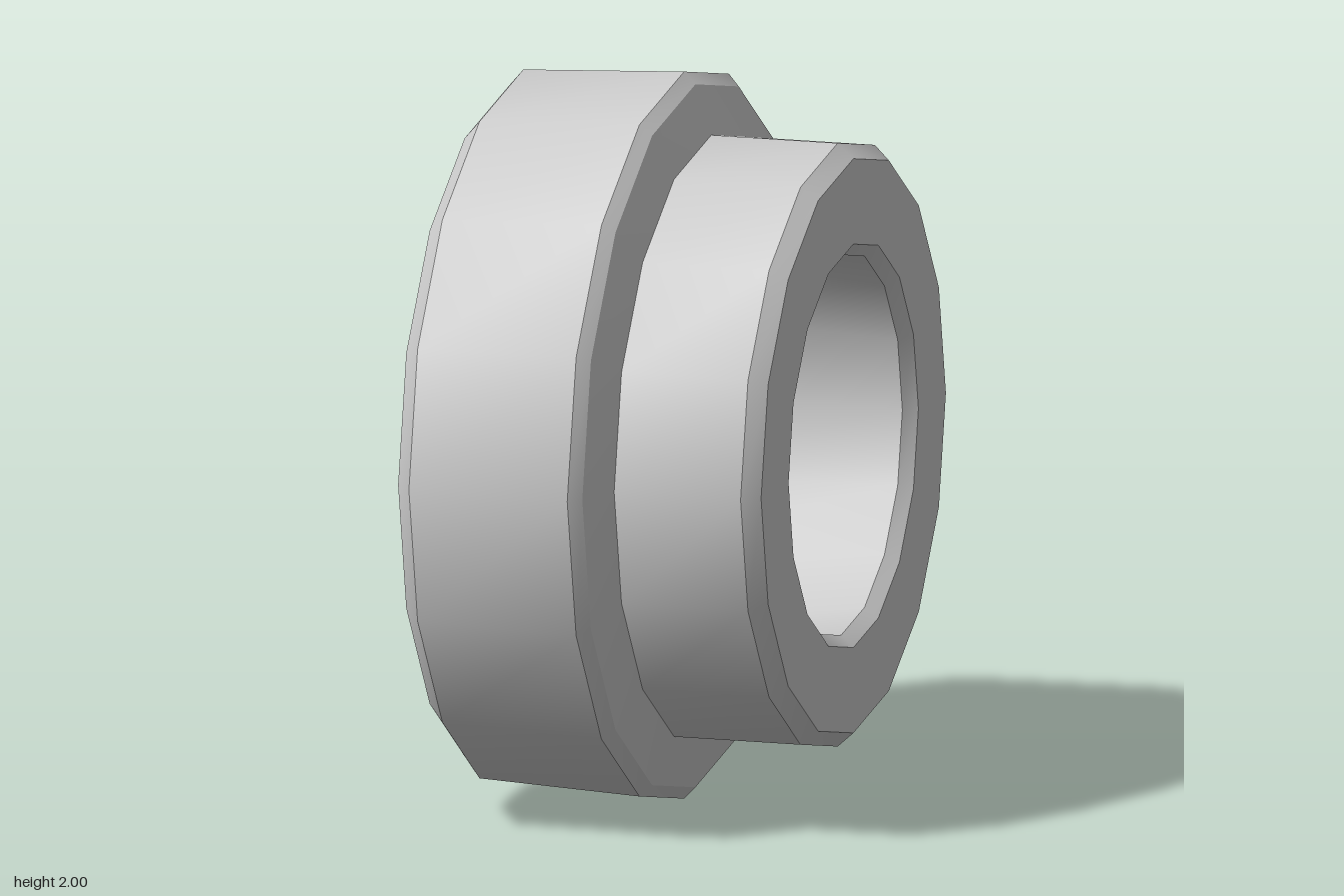
import * as THREE from 'three';
import { toCreasedNormals } from 'three/addons/utils/BufferGeometryUtils.js';

export function createModel() {
  const group = new THREE.Group();
  group.name = 'steppedBushing';

  // Closed section as [radius, position along the axis]
  const profile = [
    [0.655, -0.495], [0.92, -0.495], [0.978, -0.445], // rear face and chamfer
    [1, 0.013], [0.967, 0.045], [0.83, 0.09],         // tapered flange and shoulder
    [0.83, 0.45], [0.79, 0.495],                      // collar and chamfer
    [0.555, 0.495], [0.523, 0.46],                    // end face into the bore
    [0.62, -0.46], [0.655, -0.495],                   // bore widening to the rear face
  ].map(([r, a]) => new THREE.Vector2(r, a));

  // Smooth around the 16 sides, sharp at the chamfers
  const crease = THREE.MathUtils.degToRad(24);
  const geometry = toCreasedNormals(new THREE.LatheGeometry(profile, 16), crease);
  const ring = new THREE.Mesh(geometry, new THREE.MeshStandardMaterial({ color: 0xcccccc }));
  ring.name = 'flangedRing';
  ring.rotation.z = -Math.PI / 2; // lay the axis along x
  ring.position.y = 1;
  group.add(ring);
  return group;
}
